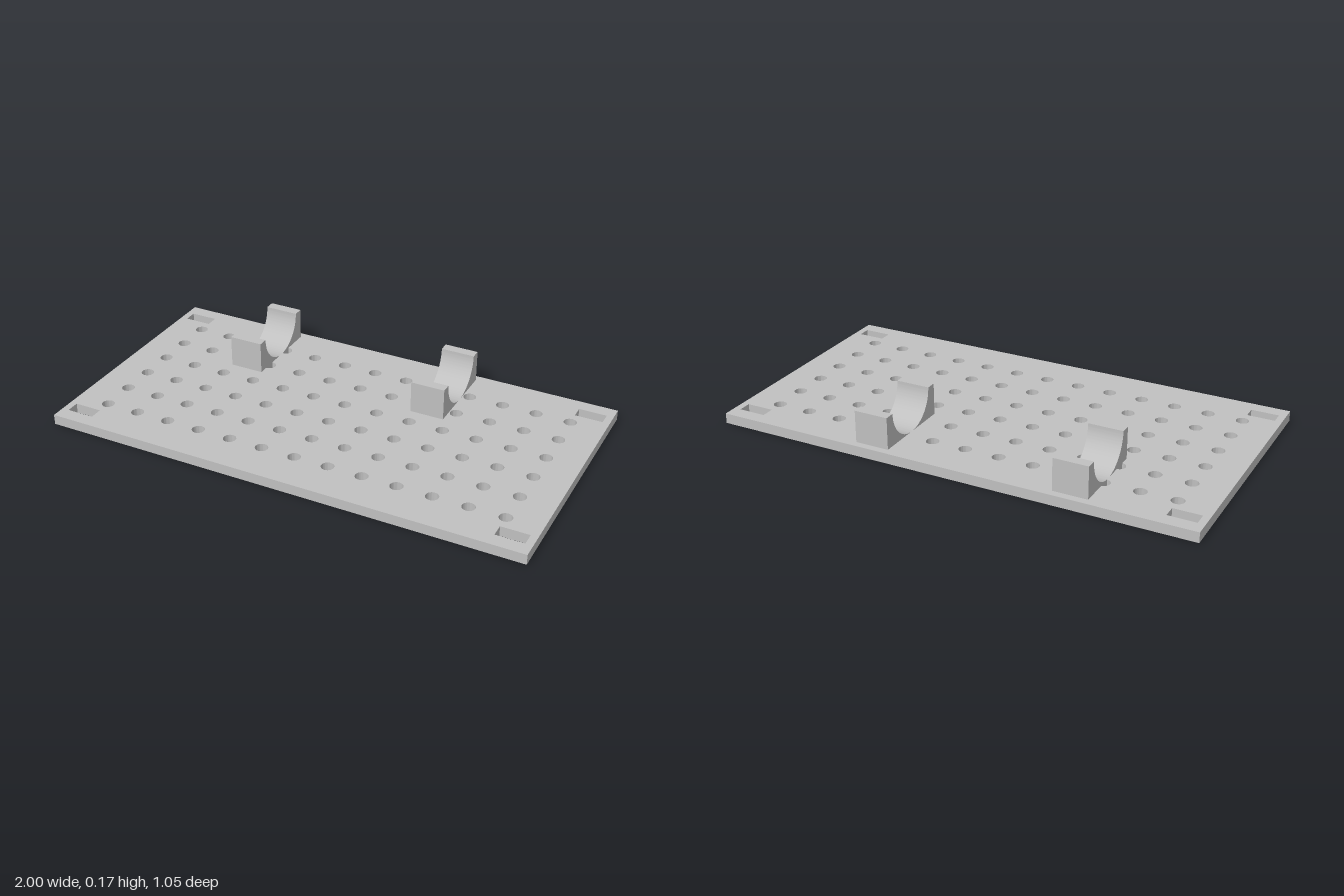
import * as THREE from 'three';
import { toCreasedNormals } from 'three/addons/utils/BufferGeometryUtils.js';

const T = 0.042;          // plate thickness
const PITCH = 0.1428;     // hole spacing

function rectangle(target, cx, cy, w, h) {
  target.moveTo(cx - w / 2, cy - h / 2);
  target.lineTo(cx + w / 2, cy - h / 2);
  target.lineTo(cx + w / 2, cy + h / 2);
  target.lineTo(cx - w / 2, cy + h / 2);
  target.closePath();
  return target;
}

function extrude(shape, depth, curveSegments) {
  const geometry = new THREE.ExtrudeGeometry(shape, { depth, bevelEnabled: false, curveSegments });
  return toCreasedNormals(geometry, 0.5);
}

// Flat plate with a grid of round holes and a slot in each corner
function plateGeometry() {
  const shape = rectangle(new THREE.Shape(), 0, 0, 2, 1.054);
  for (let i = 0; i < 13; i++) {
    for (let j = 0; j < 6; j++) {
      const hole = new THREE.Path();
      hole.absarc((i - 6) * PITCH, (j - 2.5) * PITCH, 0.026, 0, Math.PI * 2, true);
      shape.holes.push(hole);
    }
  }
  for (const sx of [-1, 1]) {
    for (const sz of [-1, 1]) {
      shape.holes.push(rectangle(new THREE.Path(), sx * 0.914, sz * 0.4425, 0.114, 0.054));
    }
  }
  return extrude(shape, T, 24).rotateX(-Math.PI / 2);
}

// Block with a half-round seat; its root fills the holes it covers
function cradleGeometry(width) {
  const half = 0.175, top = 0.175, radius = top - T;
  const shape = new THREE.Shape();
  shape.moveTo(-half, 0);
  shape.lineTo(half, 0);
  shape.lineTo(half, top);
  shape.lineTo(radius, top);
  shape.absarc(0, top, radius, 0, Math.PI, true);
  shape.lineTo(-half, top);
  shape.closePath();
  return extrude(shape, width, 40).rotateY(-Math.PI / 2).translate(width / 2, 0, 0);
}

export function createModel() {
  const group = new THREE.Group();
  group.name = 'perforatedPlateWithCradles';
  const grey = new THREE.MeshStandardMaterial({ color: 0xc0c0c0 });
  grey.name = 'grey';

  const plate = new THREE.Mesh(plateGeometry(), grey);
  plate.name = 'plate';
  group.add(plate);

  const cradle = cradleGeometry(0.142);
  for (const [name, x] of [['rightCradle', -0.502], ['leftCradle', 0.328]]) {
    const mesh = new THREE.Mesh(cradle, grey);
    mesh.name = name;
    mesh.position.set(x, 0, -0.322);
    group.add(mesh);
  }
  return group;
}
